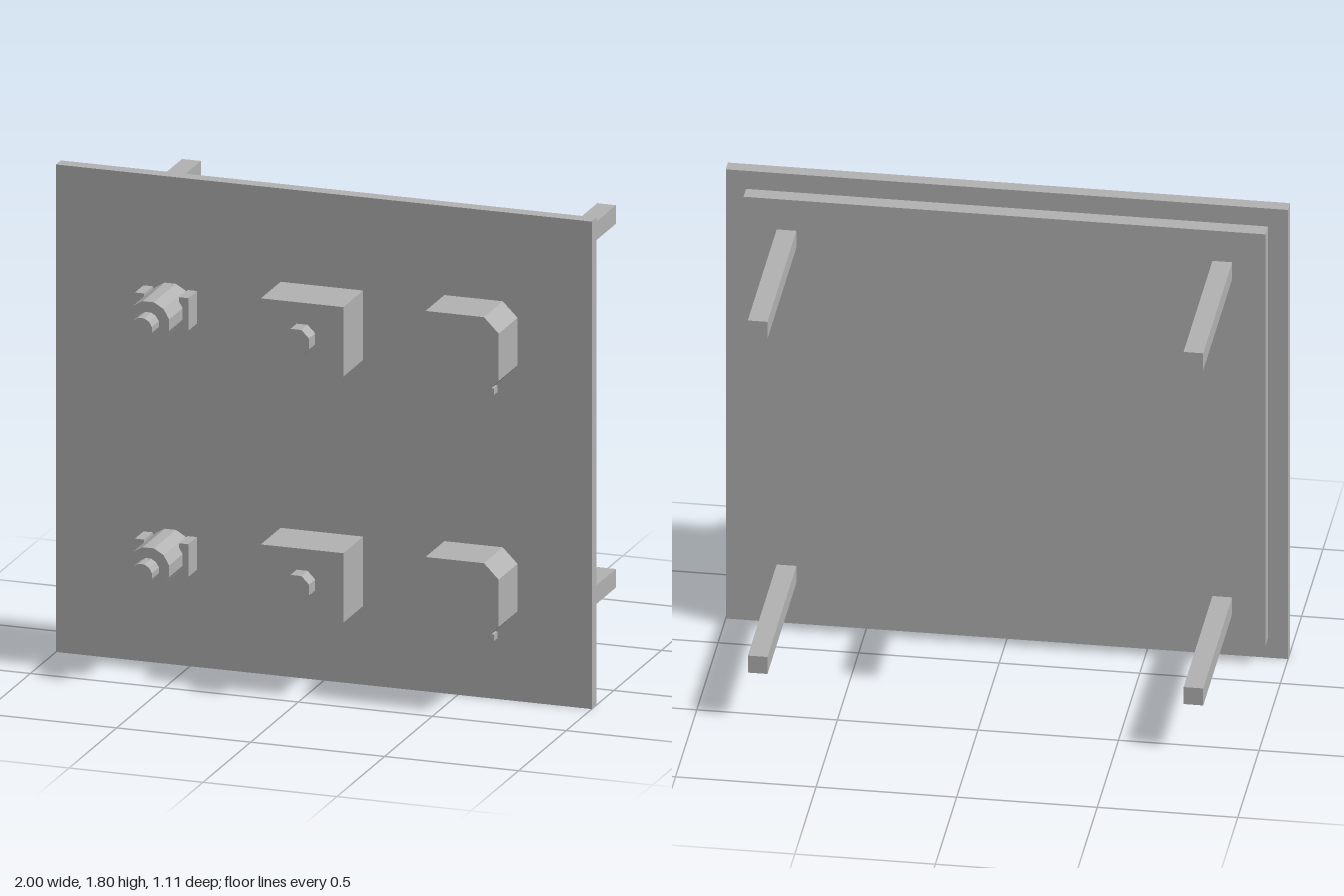
import * as THREE from 'three';

export function createModel() {
  const model = new THREE.Group();
  const grey = new THREE.MeshStandardMaterial({ color: 0xb2b2b2, flatShading: true });
  grey.name = 'plain grey';

  const add = (parent, name, geometry) => {
    const mesh = new THREE.Mesh(geometry, grey);
    mesh.name = name;
    parent.add(mesh);
    return mesh;
  };

  // box given by its extents on each axis
  const box = (parent, name, [x0, x1], [y0, y1], [z0, z1]) =>
    add(parent, name, new THREE.BoxGeometry(x1 - x0, y1 - y0, z1 - z0))
      .position.set((x0 + x1) / 2, (y0 + y1) / 2, (z0 + z1) / 2);

  // prism along z with flat faces on the x and y axes
  const barrel = (parent, name, x, radius, sides, z0, z1) => {
    const geometry = new THREE.CylinderGeometry(radius, radius, z1 - z0, sides);
    geometry.rotateY(Math.PI / sides).rotateX(Math.PI / 2);
    add(parent, name, geometry).position.set(x, 0, (z0 + z1) / 2);
  };

  // panel and its backing
  box(model, 'frontPanel', [-1, 1], [0, 1.797], [0.181, 0.232]);
  box(model, 'backingPanel', [-0.928, 0.928], [0.075, 1.725], [0.122, 0.181]);

  // four rods behind the panel
  for (const x of [-0.775, 0.775])
    for (const y of [0.229, 1.57])
      box(model, 'rearRod', [x - 0.035, x + 0.035], [y - 0.034, y + 0.034], [-0.557, 0.122]);

  // two identical rows of fittings
  for (const y of [0.425, 1.332]) {
    const row = new THREE.Group();
    row.name = 'fittingRow';
    row.position.y = y;
    model.add(row);

    // round connector with side lugs
    const cx = -0.567;
    barrel(row, 'connectorBody', cx, 0.081, 12, 0.25, 0.481);
    barrel(row, 'connectorTip', cx, 0.041, 12, 0.481, 0.554);
    for (const side of [-1, 1]) {
      const xs = [cx + side * 0.065, cx + side * 0.1].sort((a, b) => a - b);
      box(row, 'connectorLug', xs, [-0.06, 0.06], [0.25, 0.34]);
    }

    // square housing with a knob and a bottom strip
    box(row, 'housing', [-0.154, 0.154], [-0.128, 0.128], [0.253, 0.46]);
    barrel(row, 'housingKnob', 0, 0.053, 8, 0.46, 0.525);
    box(row, 'housingStrip', [-0.111, 0.111], [-0.138, -0.128], [0.333, 0.372]);

    // chamfered housing with a bottom tab
    const [l, r, b, t, c] = [0.402, 0.73, -0.142, 0.143, 0.055];
    const outline = new THREE.Shape([
      [l + c, b], [r - c, b], [r, b + c], [r, t - c],
      [r - c, t], [l + c, t], [l, t - c], [l, b + c],
    ].map(([px, py]) => new THREE.Vector2(px, py)));
    add(row, 'chamferedHousing',
      new THREE.ExtrudeGeometry(outline, { depth: 0.198, bevelEnabled: false })).position.z = 0.252;
    box(row, 'chamferedHousingTab', [0.445, 0.685], [-0.166, -0.142], [0.333, 0.372]);
  }

  return model;
}
